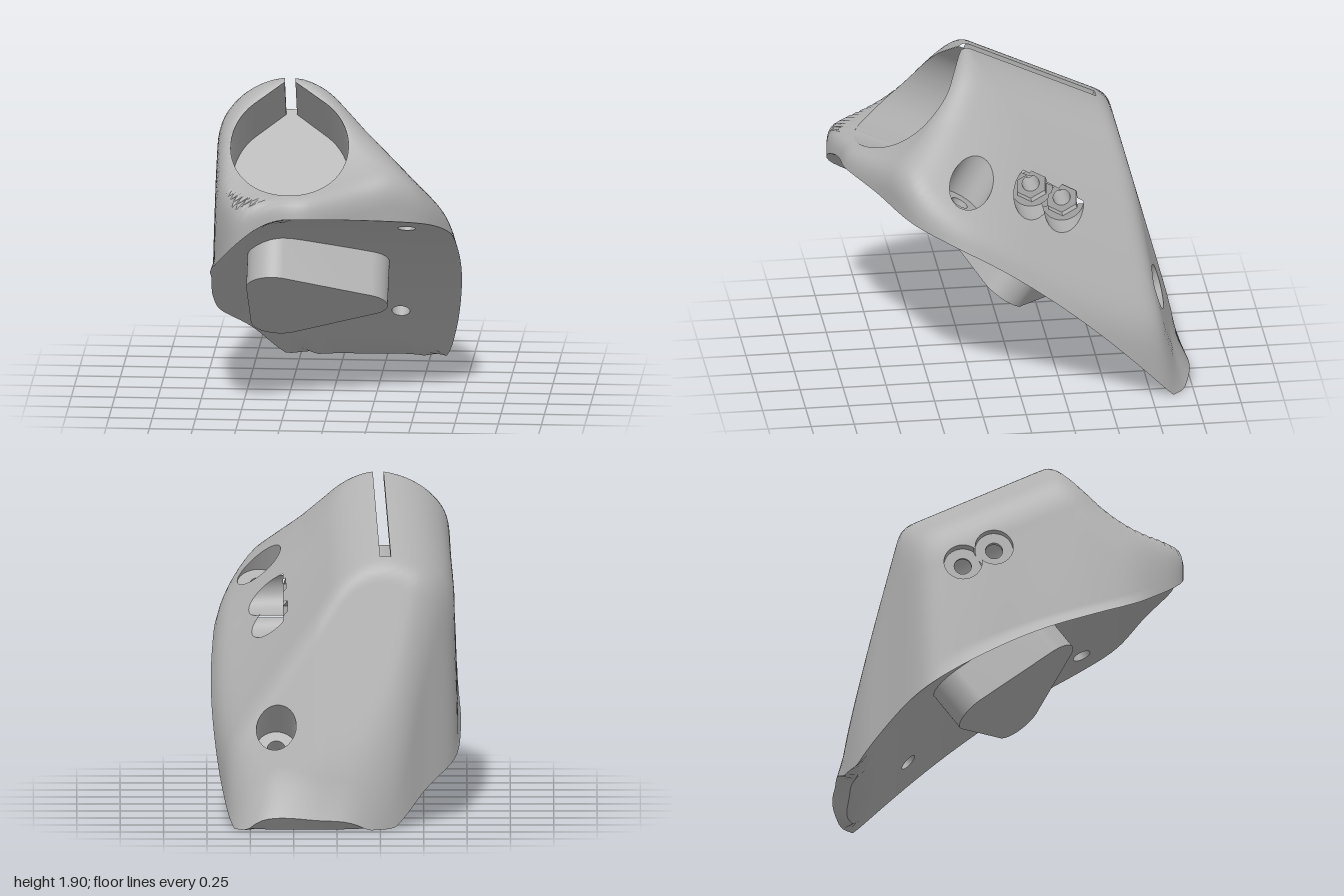
import * as THREE from 'three';
import { toCreasedNormals } from 'three/addons/utils/BufferGeometryUtils.js';

const V = (x, y, z) => new THREE.Vector3(x, y, z);
const smoothMax = (a, b, k) => Math.max(a, b) + (Math.max(k - Math.abs(a - b), 0) ** 2) / (4 * k);

// Body proportions
const R = 0.43; // outer tube radius
const AXIS_ORIGIN = V(-0.25, 1.315, 0);
const AXIS = V(0.05, 0.44, 0.897).normalize();
const CENTRE_Y = 1.15;

// Plan outline of the base, [x, z], counter-clockwise from above
const OUTLINE = [
  [-0.2, 0.96], [-0.1, 0.95], [0.2, 0.8], [0.55, 0.62], [0.68, 0.4], [0.72, 0.1], [0.72, -0.3],
  [0.66, -0.7], [0.59, -0.88], [0.45, -0.985], [0.1, -0.99], [-0.12, -0.97], [-0.35, -0.86], [-0.5, -0.7],
  [-0.68, -0.48], [-0.715, -0.25], [-0.7, 0.1], [-0.68, 0.5], [-0.62, 0.8], [-0.48, 1],
];

// Height of the curved underside
function underside(x, z) {
  const drop = 0.9 * Math.max(0, -x - 0.2) ** 2 * Math.max(0, z + 0.85);
  return Math.max(0.82 + 0.7 * z - 0.27 * z * z - drop, 0, 1.6 * (-z - 0.95));
}

// Negative inside the upper skin: tube top, sloping right flank, scooped front, leaning back
function skin(x, y, z, rho, rim) {
  const dx = x + 0.25 - 0.055 * z;
  const v = (y - 1.8 - 0.494 * z) * 0.9 + R;
  const slope = 0.9 * (1.05 - 0.25 * (z - 0.25));
  const len = Math.hypot(slope, 1), nx = slope / len, ny = 1 / len;
  let tube = -1;
  if (dx * ny - v * nx > 0) tube = dx * nx + v * ny - R;
  else if (v > 0) tube = Math.hypot(dx, v) - R;
  const side = Math.max(tube, -dx - R + 0.07 * Math.min(v, 0));
  const shoulder = 0.72 * (x - 0.1) + 0.69 * (y - 1.81);
  const q = 0.96 - z;
  const front = 0.7 * (y - 1.36 - (q > 0 ? 1.09 : -3) * q * q);
  const back = 0.966 * (-z - 0.62) + 0.259 * (y - 1.47) + 0.16 * Math.max(0, x - 0.1);
  const face = smoothMax(front, shoulder, 0.12);
  const top = smoothMax(side, face, Math.min(0.05 + 0.3 * Math.abs(dx), 0.18));
  return smoothMax(smoothMax(top, back, 0.06), rho - rim, 0.1);
}

// Solids are lists of convex faces: { p: corners, n: normal }
function addFace(faces, p) {
  const n = V(0, 0, 0);
  p.forEach((a, i) => n.add(a.clone().cross(p[(i + 1) % p.length])));
  if (n.length() > 1e-10) faces.push({ p, n: n.normalize() });
}

// Shell of rows rising from the rim to the top, closed by rings across the underside
function buildShell() {
  const faces = [], COLS = 144, ROWS = 52, RINGS = 12;
  const curve = new THREE.CatmullRomCurve3(OUTLINE.map(([x, z]) => V(x, 0, z)), true);
  const rim = curve.getSpacedPoints(COLS).slice(0, COLS);
  const upper = [], lower = [];
  for (const { x, z } of rim) {
    const r = Math.hypot(x, z), sx = x / r, sz = z / r, y0 = underside(x, z);
    const e0 = Math.atan2(y0 - CENTRE_Y, r);
    const col = [V(x, y0, z)];
    for (let k = 1; k <= ROWS; k++) {
      const e = e0 + (Math.PI / 2 - e0) * k / ROWS;
      const c = k === ROWS ? 0 : Math.cos(e), s = Math.sin(e);
      let lo = 0, hi = 2.5;
      for (let i = 0; i < 40; i++) {
        const t = (lo + hi) / 2;
        if (skin(t * c * sx, CENTRE_Y + t * s, t * c * sz, t * c, r) < 0) lo = t; else hi = t;
      }
      col.push(V(lo * c * sx, CENTRE_Y + lo * s, lo * c * sz));
    }
    upper.push(col);
    lower.push(Array.from({ length: RINGS + 1 }, (_, k) => {
      const f = 1 - k / RINGS;
      return V(x * f, underside(x * f, z * f), z * f);
    }));
  }
  const grid = (cols, count, flip) => {
    for (let j = 0; j < COLS; j++) for (let k = 0; k < count; k++) {
      const A = cols[j], B = cols[(j + 1) % COLS];
      for (const t of [[A[k], B[k], B[k + 1]], [A[k], B[k + 1], A[k + 1]]]) addFace(faces, flip ? t.reverse() : t);
    }
  };
  grid(upper, ROWS, false);
  grid(lower, RINGS, true);
  return faces;
}

// Splits a face by a plane into the parts outside and inside it
function split(p, { n, w }) {
  const out = [], inn = [];
  const d = p.map((q) => { const s = n.dot(q) - w; return Math.abs(s) < 1e-7 ? 0 : s; });
  p.forEach((a, i) => {
    const j = (i + 1) % p.length;
    if (d[i] >= 0) out.push(a);
    if (d[i] <= 0) inn.push(a);
    if (d[i] * d[j] < 0) {
      const m = a.clone().lerp(p[j], d[i] / (d[i] - d[j]));
      out.push(m); inn.push(m);
    }
  });
  return [out, inn];
}

// Stretches of a line that lie within the solid
function solidSpans(faces, origin, dir, s0, s1) {
  const hits = [];
  for (const { p, n } of faces) {
    const k = n.dot(dir);
    if (Math.abs(k) < 1e-9) continue;
    const s = (n.dot(p[0]) - n.dot(origin)) / k;
    const q = origin.clone().addScaledVector(dir, s);
    const within = p.every((a, i) => {
      const edge = p[(i + 1) % p.length].clone().sub(a).normalize();
      return edge.cross(q.clone().sub(a)).dot(n) > -1e-7;
    });
    if (within) hits.push({ s, enter: k < 0 });
  }
  hits.sort((a, b) => a.s - b.s);
  const spans = [];
  let start = null;
  for (const { s, enter } of hits) {
    if (enter) start = s;
    else if (start !== null) {
      const a = Math.max(start, s0), b = Math.min(s, s1);
      if (b - a > 1e-4) spans.push([a, b]);
      start = null;
    }
  }
  return spans;
}

// Cuts a convex profile along dir, from depth s0 outward to s1, and lines the cavity
function drill(faces, origin, dir, up, profile, s0, s1) {
  const U = up.clone().cross(dir).normalize(), W = dir.clone().cross(U);
  const pts = profile.map(([u, v]) => origin.clone().addScaledVector(U, u).addScaledVector(W, v));
  const at = (i, s) => pts[i].clone().addScaledVector(dir, s);
  const base = dir.dot(origin);
  const planes = pts.map((a, i) => {
    const n = pts[(i + 1) % pts.length].clone().sub(a).cross(dir).normalize();
    return { n, w: n.dot(a) };
  });
  planes.push({ n: dir, w: base + s1 }, { n: dir.clone().negate(), w: -base - s0 });

  const result = [];
  for (const face of faces) {
    if (planes.some(({ n, w }) => face.p.every((q) => n.dot(q) - w > -1e-7))) { result.push(face); continue; }
    let rest = face.p;
    for (const plane of planes) {
      const [out, inn] = split(rest, plane);
      if (out.length > 2) result.push({ p: out, n: face.n });
      rest = inn;
      if (rest.length < 3) break;
    }
  }
  const spans = pts.map((a) => solidSpans(faces, a, dir, s0, s1));
  pts.forEach((_, i) => {
    const j = (i + 1) % pts.length;
    for (let m = 0; m < Math.min(spans[i].length, spans[j].length); m++) {
      const [a, b] = spans[i][m], [c, d] = spans[j][m];
      addFace(result, [at(i, a), at(i, b), at(j, d), at(j, c)]);
    }
  });
  const floor = pts.map((_, i) => i).filter((i) => spans[i].some(([a]) => a === s0));
  if (floor.length > 2) addFace(result, floor.map((i) => at(i, s0)));
  return result;
}

const ring = (r, sides = 32, turn = 0.01) => Array.from({ length: sides }, (_, i) => {
  const t = turn + i / sides * Math.PI * 2;
  return [r * Math.cos(t), r * Math.sin(t)];
});

function toGeometry(faces) {
  const xyz = [];
  for (const { p } of faces) for (let i = 1; i < p.length - 1; i++) {
    for (const q of [p[0], p[i], p[i + 1]]) xyz.push(q.x, q.y, q.z);
  }
  const g = new THREE.BufferGeometry();
  g.setAttribute('position', new THREE.Float32BufferAttribute(xyz, 3));
  return toCreasedNormals(g, 0.75);
}

function buildBody() {
  const UP = V(0, 1, 0), X = V(1, 0, 0);
  let f = buildShell();
  const cut = (...args) => { f = drill(f, ...args); };

  // Teardrop bore, then the clamping slot along its crown
  const bore = Array.from({ length: 49 }, (_, i) => {
    const t = THREE.MathUtils.degToRad(128 + 284 * i / 48);
    return [0.34 * Math.cos(t), 0.34 * Math.sin(t)];
  });
  bore.push([0.027, 0.405], [-0.027, 0.405]);
  cut(AXIS_ORIGIN, AXIS, UP, bore, -0.39, 2);
  const crown = AXIS.clone().cross(UP.clone().cross(AXIS)).normalize();
  const edge = Array.from({ length: 29 }, (_, i) => -0.385 + 0.04 * i);
  cut(AXIS_ORIGIN, crown, AXIS, [...edge.map((v) => [0.031, v]), ...edge.reverse().map((v) => [-0.031, v])], 0.2, 1);

  // Clamp bolts: recess and nut pocket on one flank, head recess on the other
  const bolts = [V(0, 1.24, -0.09), V(0, 1.14, -0.27)];
  for (const b of bolts) cut(b, X, UP, ring(0.122), 0.31, 1.5);
  for (const b of bolts) cut(b, X, UP, ring(0.095, 6, Math.PI / 2), 0.26, 1.5);
  for (const b of bolts) cut(b, X.clone().negate(), UP, ring(0.11), 0.62, 1.5);
  for (const b of bolts) cut(b, X, UP, ring(0.05, 24), -1.2, 1.2);

  // Mounting screws through the base, counterbored from above
  const screws = [[V(0.45, 1.06, 0.45), V(0, 0.86, -0.51), 0.125, 0.2], [V(0.35, 0.35, -0.57), V(0, 0.68, -0.73), 0.115, 0.12]];
  for (const [o, d, r, depth] of screws) {
    d.normalize();
    cut(o, d, X, ring(r), depth, 1.2);
    cut(o, d, X, ring(0.052, 24), -0.3, 0.6);
  }
  return toGeometry(f);
}

// Rounded triangular locating pad under the base
function buildPad() {
  const s = new THREE.Shape(), rad = THREE.MathUtils.degToRad;
  s.absarc(0.165, 0.03, 0.15, rad(-64), rad(69));
  s.absarc(-0.33, 0.25, 0.16, rad(69), rad(180));
  s.absarc(-0.33, -0.25, 0.16, rad(180), rad(296));
  const g = new THREE.ExtrudeGeometry(s, { depth: 0.315, bevelEnabled: false, curveSegments: 12 });
  g.rotateX(0.927).translate(0, 0.762, -0.144);
  return toCreasedNormals(g, 0.6);
}

export function createModel() {
  const grey = new THREE.MeshStandardMaterial({ color: 0xb0b0b0 });
  grey.name = 'grey plastic';
  const group = new THREE.Group();
  group.name = 'tubeClampMount';
  const add = (name, geometry) => {
    const mesh = new THREE.Mesh(geometry, grey);
    mesh.name = name;
    group.add(mesh);
  };
  add('clampBody', buildBody());
  add('locatingPad', buildPad());
  return group;
}
